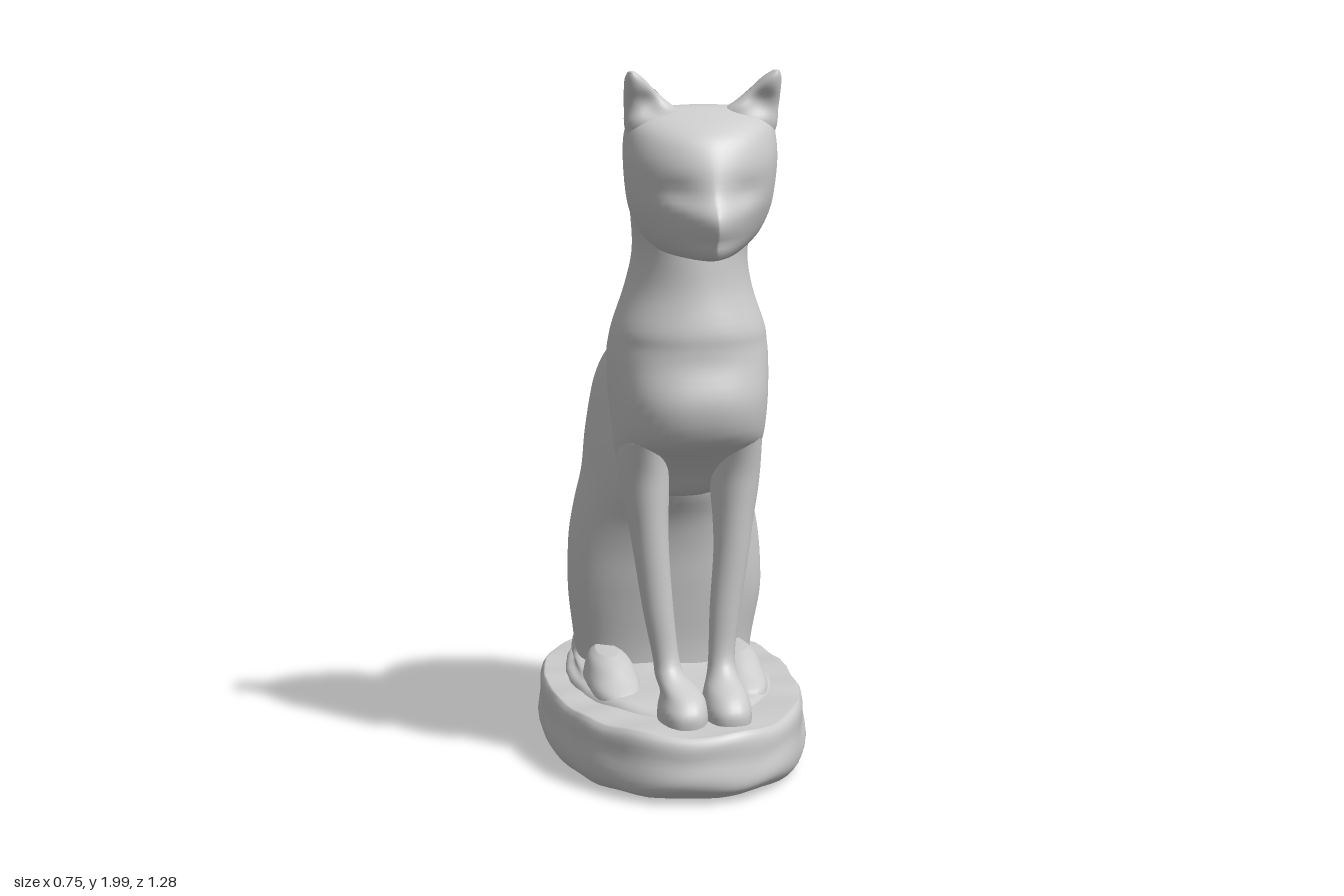
import * as THREE from 'three';

const material = new THREE.MeshStandardMaterial({ color: 0xcccccc, roughness: 0.8 });

// Smooth interpolation of one column of the station table
function spline(rows, col, t) {
  const last = rows.length - 1;
  const i = Math.min(Math.floor(t), last - 1), f = t - i;
  const v = k => rows[Math.max(0, Math.min(last, k))][col];
  const a = v(i - 1), b = v(i), c = v(i + 1), d = v(i + 2);
  return b + 0.5 * f * (c - a + f * (2 * a - 5 * b + 4 * c - d + f * (3 * (b - c) + d - a)));
}

// Closed loft through horizontal rings.
// Station: [y, zFront, zWidest, zBack, halfWidth, frontExponent, backExponent, xCentre]
function loft(name, stations, { steps = 4, sides = 48, rule = null } = {}) {
  const rows = stations.map(s => [...s.slice(0, 5), s[5] ?? 2, s[6] ?? 2, s[7] ?? 0]);
  const rings = [];
  const count = (rows.length - 1) * steps;
  for (let k = 0; k <= count; k++) rings.push(rows[0].map((_, col) => spline(rows, col, k / steps)));
  const cap = r => [r[0], r[2], r[2], r[2], 0, 2, 2, r[7]];
  rings.unshift(cap(rings[0]));
  rings.push(cap(rings[rings.length - 1]));

  const positions = [], index = [];
  const power = (v, n) => Math.sign(v) * Math.pow(Math.abs(v), 2 / n);
  rings.forEach(([y, zf, zc, zb, w, nf, nb, cx], k) => {
    for (let i = 0; i < sides; i++) {
      const a = (i / sides) * Math.PI * 2, s = Math.sin(a);
      const n = s > 0 ? nf : nb;
      const p = new THREE.Vector3(
        cx + w * power(Math.cos(a), n), y,
        zc + (s > 0 ? zf - zc : zc - zb) * power(s, n));
      if (rule) rule(p);
      positions.push(p.x, p.y, p.z);
      if (k === rings.length - 1) continue;
      const j = (i + 1) % sides, o = k * sides;
      index.push(o + i, o + sides + i, o + j, o + j, o + sides + i, o + sides + j);
    }
  });
  const geometry = new THREE.BufferGeometry();
  geometry.setAttribute('position', new THREE.Float32BufferAttribute(positions, 3));
  geometry.setIndex(index);
  geometry.computeVertexNormals();
  const mesh = new THREE.Mesh(geometry, material);
  mesh.name = name;
  return mesh;
}

const bump = (p, x, y, rx, ry) => Math.exp(-(((p.x - x) / rx) ** 2) - ((p.y - y) / ry) ** 2);

// Worn stone surface
function wear(p) {
  const n = Math.sin(p.x * 17 + p.z * 11) * Math.sin(p.z * 19 - p.x * 7 + p.y * 23);
  p.y = Math.max(0, p.y + 0.007 * n);
  p.x *= 1 + 0.01 * n;
}

export function createModel() {
  const model = new THREE.Group();

  // Oval plinth, hollow underneath: [radius factor, height]
  const plinth = [[0.4, 0.175], [0.76, 0.16], [0.83, 0.1], [0.85, 0.03], [0.88, 0.016], [0.93, 0.02],
    [0.985, 0.045], [1, 0.08], [0.985, 0.13], [0.985, 0.175], [0.96, 0.2], [0.9, 0.204], [0.5, 0.207]];
  model.add(loft('plinth', plinth.map(([r, y]) =>
    [y, -0.06 + 0.59 * r, -0.07, -0.06 - 0.58 * r, 0.375 * r, 2.15, 2.4]), { steps: 3, sides: 72, rule: wear }));
  // Low uneven ground around the animal, rising behind it
  model.add(loft('raisedGround', [
    [0.19, 0.34, -0.1, -0.6, 0.3, 2.1, 2.2],
    [0.215, 0.32, -0.1, -0.595, 0.288, 2.1, 2.2],
    [0.228, 0.25, -0.1, -0.58, 0.265, 2.1, 2.2],
    [0.25, -0.08, -0.25, -0.575, 0.262, 2.1, 2.1],
    [0.28, -0.1, -0.25, -0.56, 0.25, 2.1, 2.1]], { rule: wear }));

  // Haunches and back
  model.add(loft('hindquarters', [
    [0.19, -0.06, -0.22, -0.565, 0.252, 2.2, 2.1, 0.005],
    [0.3, -0.055, -0.22, -0.557, 0.265, 2.2, 2.1, 0.007],
    [0.42, -0.035, -0.21, -0.555, 0.283, 2.1, 2.1, 0.01],
    [0.5, -0.02, -0.21, -0.55, 0.285, 2.1, 2.1, 0.01],
    [0.6, 0.0, -0.21, -0.537, 0.28, 2, 2.1, 0.008],
    [0.7, 0.035, -0.2, -0.517, 0.263, 1.9, 2.1, 0.006],
    [0.8, 0.095, -0.19, -0.49, 0.24, 1.8, 2.1, 0.004],
    [0.9, 0.11, -0.19, -0.463, 0.226, 1.8, 2.2],
    [1.0, 0.09, -0.18, -0.425, 0.214, 1.8, 2.2],
    [1.08, 0.07, -0.17, -0.38, 0.2, 1.8, 2.2],
    [1.15, 0.05, -0.15, -0.325, 0.176, 1.9, 2.1],
    [1.21, 0.02, -0.12, -0.245, 0.138],
    [1.25, -0.01, -0.09, -0.16, 0.09],
    [1.27, -0.03, -0.07, -0.11, 0.045]]));

  // Chest, shoulders and neck
  model.add(loft('chestAndNeck', [
    [0.795, 0.15, 0.11, 0.06, 0.07],
    [0.82, 0.2, 0.13, 0.03, 0.13],
    [0.88, 0.255, 0.16, 0.0, 0.18, 2.2],
    [0.94, 0.33, 0.18, -0.05, 0.2, 2.4],
    [1.0, 0.42, 0.2, -0.12, 0.208, 2.4],
    [1.1, 0.455, 0.2, -0.21, 0.215, 2.4],
    [1.2, 0.432, 0.2, -0.21, 0.218, 2.3],
    [1.25, 0.428, 0.2, -0.14, 0.215, 2.2],
    [1.3, 0.428, 0.2, -0.075, 0.207, 2.2, 1.9],
    [1.4, 0.408, 0.2, -0.02, 0.175, 2, 1.85],
    [1.5, 0.4, 0.22, 0.038, 0.158, 2, 1.8],
    [1.6, 0.39, 0.27, 0.1, 0.17, 2, 1.8],
    [1.7, 0.38, 0.31, 0.145, 0.188, 2, 1.9],
    [1.78, 0.38, 0.33, 0.185, 0.185],
    [1.84, 0.37, 0.33, 0.225, 0.15]]));

  // Wedge-shaped head with shallow eye sockets
  model.add(loft('head', [
    [1.507, 0.53, 0.39, 0.27, 0.065, 1.5],
    [1.52, 0.59, 0.38, 0.22, 0.108, 1.35],
    [1.56, 0.618, 0.38, 0.18, 0.155, 1.25],
    [1.62, 0.637, 0.38, 0.155, 0.187, 1.25],
    [1.68, 0.597, 0.38, 0.155, 0.2, 1.5],
    [1.76, 0.572, 0.38, 0.178, 0.207, 1.7],
    [1.82, 0.54, 0.37, 0.207, 0.205, 1.8],
    [1.86, 0.49, 0.37, 0.24, 0.195, 1.9],
    [1.885, 0.44, 0.365, 0.275, 0.17],
    [1.899, 0.405, 0.36, 0.315, 0.12],
    [1.904, 0.38, 0.355, 0.335, 0.05]], {
    sides: 72,
    rule: p => {
      if (p.z < 0.4) return;
      p.z -= 0.014 * (bump(p, 0.09, 1.69, 0.05, 0.03) + bump(p, -0.09, 1.69, 0.05, 0.03));
      p.z -= 0.006 * bump(p, 0, 1.565, 0.08, 0.012);
    },
  }));

  for (const [side, label] of [[1, 'left'], [-1, 'right']]) {
    // Ear: broad upright triangle, hollowed toward the front
    model.add(loft(label + 'Ear', [
      [1.79, 0.41, 0.38, 0.35, 0.05, 2, 2, side * 0.135],
      [1.85, 0.435, 0.385, 0.32, 0.076, 2, 2, side * 0.129],
      [1.89, 0.435, 0.39, 0.322, 0.074, 2, 2, side * 0.133],
      [1.92, 0.44, 0.398, 0.337, 0.056, 2, 2, side * 0.153],
      [1.95, 0.447, 0.408, 0.354, 0.04, 2, 2, side * 0.17],
      [1.98, 0.448, 0.418, 0.375, 0.024, 2, 2, side * 0.185],
      [1.998, 0.442, 0.427, 0.41, 0.008, 2, 2, side * 0.194]], {
      sides: 32,
      rule: p => { if (p.z > 0.41) p.z -= 0.022 * bump(p, side * 0.15, 1.92, 0.035, 0.035); },
    }));

    // Foreleg running down into the paw
    const paw = side * 0.062 + 0.022;
    model.add(loft(label + 'Foreleg', [
      [0.19, 0.44, 0.33, 0.22, 0.067, 2.4, 2, paw],
      [0.235, 0.443, 0.33, 0.225, 0.067, 2.4, 2, paw],
      [0.275, 0.41, 0.31, 0.23, 0.057, 2.2, 2, paw],
      [0.315, 0.335, 0.275, 0.235, 0.042, 2, 2, side * 0.074 + 0.01],
      [0.37, 0.302, 0.265, 0.23, 0.037, 2, 2, side * 0.08 + 0.005],
      [0.5, 0.303, 0.262, 0.224, 0.043, 2, 2, side * 0.095],
      [0.65, 0.31, 0.258, 0.205, 0.049, 2, 2, side * 0.112],
      [0.75, 0.315, 0.245, 0.17, 0.056, 2, 2, side * 0.12],
      [0.82, 0.32, 0.235, 0.12, 0.064, 2, 2, side * 0.125],
      [0.9, 0.33, 0.23, 0.08, 0.068, 2, 2, side * 0.13],
      [1.0, 0.36, 0.23, 0.07, 0.065, 2, 2, side * 0.135]], { sides: 28 }));

    // Hind paw lying flat beneath the haunch, toes forward
    model.add(loft(label + 'HindPaw', [
      [0.19, 0.2, 0.0, -0.2, 0.08, 2.2, 2, side * 0.185],
      [0.225, 0.19, 0.0, -0.2, 0.078, 2.2, 2, side * 0.185],
      [0.255, 0.13, -0.01, -0.2, 0.07, 2.1, 2, side * 0.185],
      [0.285, 0.075, -0.03, -0.18, 0.055, 2, 2, side * 0.187],
      [0.303, 0.02, -0.05, -0.14, 0.03, 2, 2, side * 0.19]], { sides: 32 }));
  }

  return model;
}
